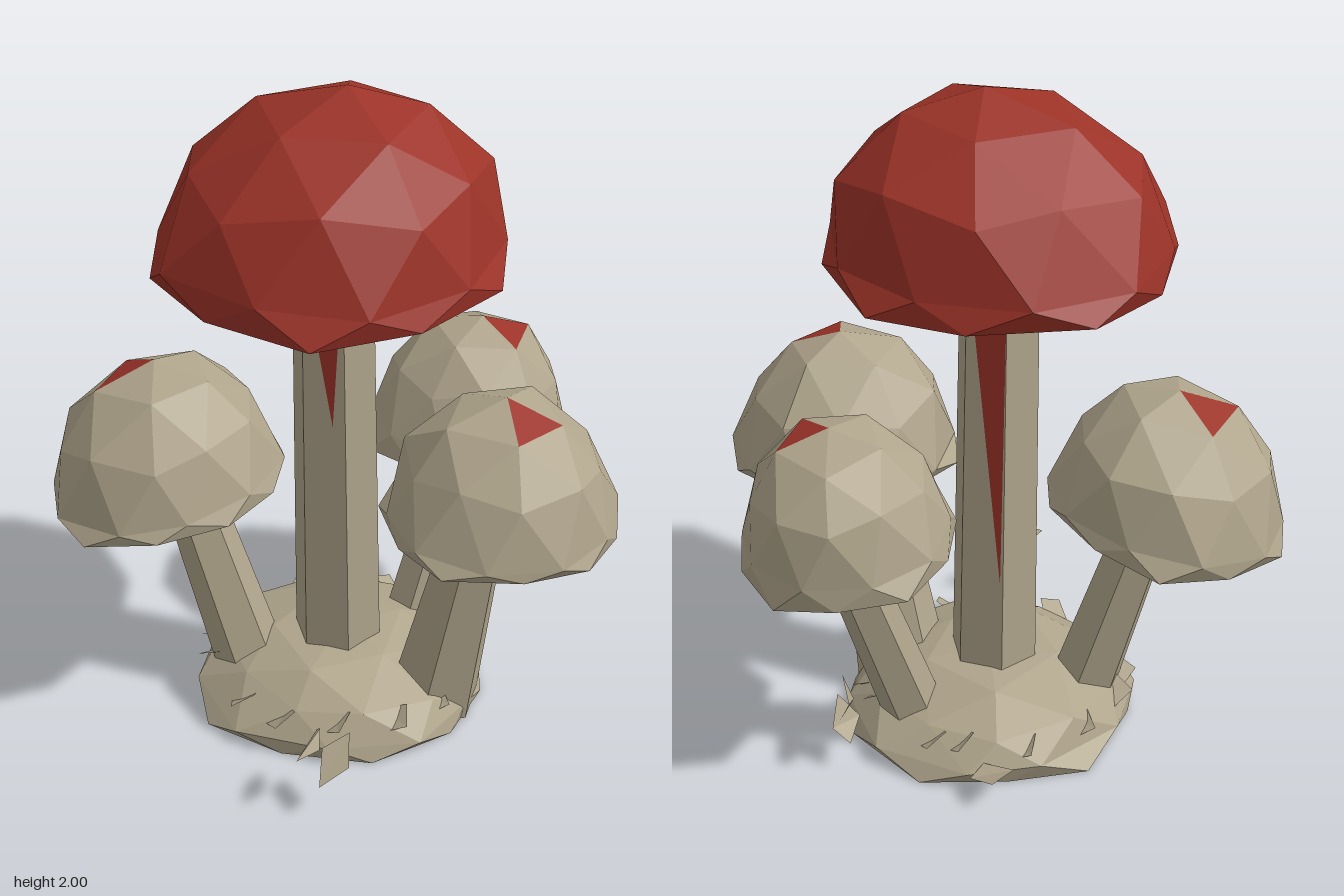
import * as THREE from 'three';
import { mergeVertices } from 'three/addons/utils/BufferGeometryUtils.js';

const grey = new THREE.MeshStandardMaterial({ color: 0xcccccc, flatShading: true, side: THREE.DoubleSide });
const tan = grey.clone();
tan.color.set(0xb0a58c);
const red = grey.clone();
red.color.set(0x9c3328);

const V = (x, y, z) => new THREE.Vector3(x, y, z);
const UP = V(0, 1, 0);

// Repeatable pseudo-random value in -1..1
const noise = (n) => {
  const s = Math.sin(n * 127.1 + 11.7) * 43758.5453;
  return (s - Math.floor(s)) * 2 - 1;
};

function addMesh(parent, name, geometry, material) {
  geometry.computeVertexNormals();
  const mesh = new THREE.Mesh(geometry, material);
  mesh.name = name;
  parent.add(mesh);
}

function triangles(points) {
  return new THREE.BufferGeometry().setFromPoints(points);
}

// Faceted dome: the lower half of a coarse sphere is folded up into a shallow underside
function domeGeometry({ center, radius, height, drop, hollow, axis = UP, lean = [0, 0], jitter = 0.035, seed = 0 }) {
  let g = new THREE.IcosahedronGeometry(1, 1);
  g.rotateZ(-Math.atan(2 / (1 + Math.sqrt(5))));
  g.deleteAttribute('normal');
  g.deleteAttribute('uv');
  g.rotateY(seed * 0.7);
  g = mergeVertices(g, 1e-3);
  const p = g.attributes.position;
  for (let i = 0; i < p.count; i++) {
    let x = p.getX(i), y = p.getY(i), z = p.getZ(i);
    const n = (k) => noise(seed * 97 + i * 3 + k) * jitter;
    const rise = Math.max(0, y);
    if (y < -0.1) {
      x *= 1.15;
      z *= 1.15;
      const inward = Math.max(0, 0.97 - Math.hypot(x, z));
      y = -drop + hollow * inward + (hollow ? n(1) * radius : 0);
    } else {
      const shoulder = y > 0.2 ? 0.95 : 1;
      x *= shoulder;
      z *= shoulder;
      y = y * height + (y > 0.95 ? 0 : n(1) * height);
    }
    p.setXYZ(i, (x + n(0)) * radius + lean[0] * rise, y, (z + n(2)) * radius + lean[1] * rise);
  }
  g.applyQuaternion(new THREE.Quaternion().setFromUnitVectors(UP, axis.clone().normalize()));
  g.translate(center.x, center.y, center.z);
  return g;
}

// Splits off the upward face nearest to a spot seen from above
function splitFace(g, spotX, spotZ) {
  const p = g.attributes.position, idx = Array.from(g.index.array);
  let best = 0, bestDistance = Infinity;
  for (let i = 0; i < idx.length; i += 3) {
    const c = V(0, 0, 0);
    for (let k = 0; k < 3; k++) c.add(V(0, 0, 0).fromBufferAttribute(p, idx[i + k]));
    c.divideScalar(3);
    const d = Math.hypot(c.x - spotX, c.z - spotZ);
    if (c.y > 0.95 && d < bestDistance) [best, bestDistance] = [i, d];
  }
  const patch = g.clone().setIndex(idx.splice(best, 3));
  return [g.clone().setIndex(idx), patch];
}

// Tapered six-sided stem between two points
function stemGeometry(from, to, r0, r1) {
  const dir = to.clone().sub(from);
  const g = new THREE.CylinderGeometry(r1, r0, dir.length(), 6);
  g.applyQuaternion(new THREE.Quaternion().setFromUnitVectors(UP, dir.normalize()));
  const mid = from.clone().add(to).multiplyScalar(0.5);
  return g.translate(mid.x, mid.y, mid.z);
}

// Tall stem whose sides may carry a wedge running down to a tip: [height, position across the side]
function streakedStem(parent, from, to, r0, r1, tips) {
  const plain = [], streak = [], n = tips.length;
  const at = (c, r, k) => {
    const a = ((k + 0.5) / n) * Math.PI * 2;
    return V(c.x + Math.sin(a) * r, c.y, c.z + Math.cos(a) * r);
  };
  tips.forEach((tip, k) => {
    const a = at(to, r1, k), b = at(to, r1, k + 1), c = at(from, r0, k), d = at(from, r0, k + 1);
    if (!tip) {
      plain.push(a, c, d, a, d, b);
      return;
    }
    const [y, across] = tip;
    const t = a.clone().lerp(b, across).lerp(c.clone().lerp(d, across), (to.y - y) / (to.y - from.y));
    streak.push(a, t, b);
    plain.push(a, c, t, c, d, t, d, b, t);
  });
  addMesh(parent, 'tallStem', triangles(plain), tan);
  addMesh(parent, 'tallStemStreaks', triangles(streak), red);
}

export function createModel() {
  const model = new THREE.Group();
  model.name = 'mushroomCluster';

  // Ground mound
  addMesh(model, 'mound', domeGeometry({
    center: V(-0.04, 0.05, -0.055), radius: 0.435, height: 0.165, drop: 0.05, hollow: 0, jitter: 0.06, seed: 5,
  }), tan);

  // Tall mushroom
  const tall = new THREE.Group();
  tall.name = 'tallMushroom';
  model.add(tall);
  addMesh(tall, 'tallCap', domeGeometry({
    center: V(-0.09, 1.56, -0.04), radius: 0.495, height: 0.44, drop: 0.065, hollow: 0.03, lean: [0.03, 0.03], seed: 1,
  }), red);
  streakedStem(tall, V(-0.05, 0.08, -0.06), V(-0.085, 1.53, -0.035), 0.135, 0.118,
    [[1.27, 0.5], [0.5, 0.93], 0, 0, [1.0, 0.7], 0]);

  // Three small mushrooms leaning outward
  const small = [
    { name: 'backMushroom', center: V(-0.405, 0.765, -0.425), radius: 0.35, height: 0.365, axis: V(-0.11, 1, -0.12),
      drop: 0.045, lean: [0.03, 0.03], spot: [-0.49, -0.5],
      foot: V(-0.245, 0.08, -0.25), top: V(-0.36, 0.77, -0.41), r: [0.108, 0.082] },
    { name: 'leftMushroom', center: V(0.435, 0.795, 0.02), radius: 0.31, height: 0.33, axis: V(0.12, 1, 0),
      drop: 0.08, lean: [0, 0.01], spot: [0.51, 0.05],
      foot: V(0.225, 0.05, -0.03), top: V(0.475, 0.77, 0), r: [0.093, 0.076] },
    { name: 'frontMushroom', center: V(0.123, 0.795, 0.435), radius: 0.343, height: 0.355, axis: V(0.01, 1, 0),
      drop: 0.045, lean: [0, 0], spot: [0.11, 0.48],
      foot: V(0.085, 0.03, 0.22), top: V(0.1, 0.79, 0.385), r: [0.143, 0.088] },
  ];
  small.forEach((m, i) => {
    const group = new THREE.Group();
    group.name = m.name;
    model.add(group);
    const [cap, patch] = splitFace(domeGeometry({ ...m, hollow: 0.04, seed: i + 2 }), ...m.spot);
    addMesh(group, 'cap', cap, tan);
    addMesh(group, 'capPatch', patch, red);
    addMesh(group, 'stem', stemGeometry(m.foot, m.top, ...m.r), tan);
  });

  // Loose leaves: folded diamonds given as base, side, tip, side
  const leaves = [
    [V(-0.55, 0.12, 0.38), V(-0.49, 0.2, 0.33), V(-0.42, 0.24, 0.37), V(-0.47, 0.17, 0.42)],
    [V(-0.59, 0.21, 0.33), V(-0.5, 0.27, 0.32), V(-0.45, 0.22, 0.28), V(-0.51, 0.21, 0.34)],
    [V(0.44, 0.2, 0), V(0.45, 0.27, 0.04), V(0.53, 0.28, -0.1), V(0.53, 0.19, -0.05)],
    [V(0.42, 0.13, 0), V(0.47, 0.21, 0.04), V(0.52, 0.13, 0), V(0.5, 0.1, -0.06)],
    [V(0.2, 0.09, -0.45), V(0.3, 0.1, -0.47), V(0.3, 0.06, -0.37), V(0.24, 0.08, -0.36)],
  ];
  // Small shards scattered around the mound
  for (let i = 0; i < 14; i++) {
    const a = (i / 14) * Math.PI * 2 + noise(i) * 0.15;
    const r = 0.34 + noise(i + 40) * 0.02, y = 0.09 + noise(i + 80) * 0.03;
    const at = (turn, out, up) => V(-0.04 + Math.sin(a + turn) * (r + out), y + up, -0.055 + Math.cos(a + turn) * (r + out));
    leaves.push([at(0, -0.03, 0), at(0.14, 0.03, 0.04), at(0.05, 0.09, 0.01), at(-0.12, 0.04, -0.03)]);
  }
  const scattered = new THREE.Group();
  scattered.name = 'leaves';
  model.add(scattered);
  leaves.forEach(([a, b, c, d]) => addMesh(scattered, 'leaf', triangles([a, b, c, a, c, d]), tan));

  return model;
}
